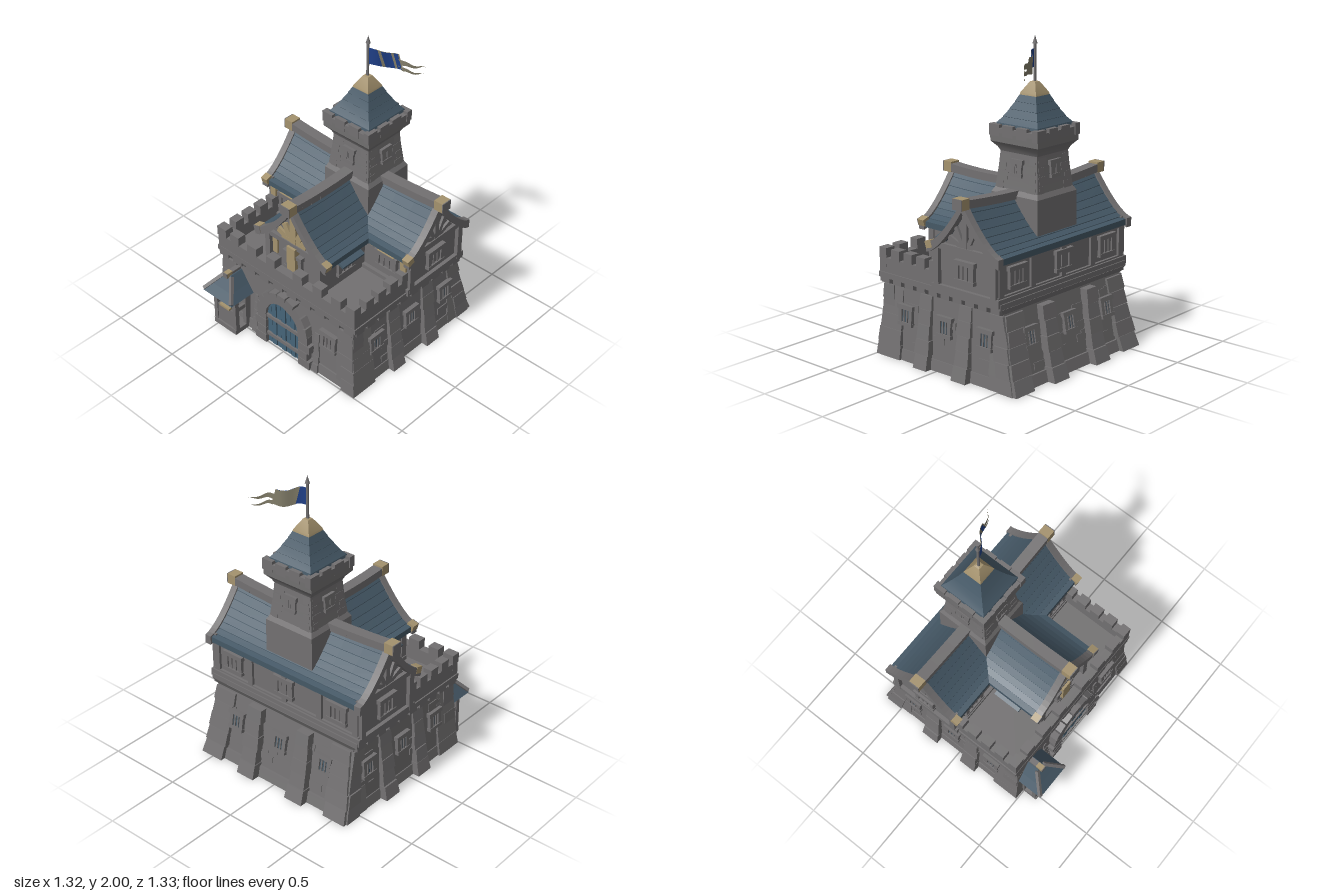
import * as THREE from 'three';
import { toCreasedNormals } from 'three/addons/utils/BufferGeometryUtils.js';

const mat = (name, color, side = THREE.FrontSide) => Object.assign(new THREE.MeshStandardMaterial({ color, side }), { name });
const stone = mat('stone', 0x727071), slate = mat('blue roof', 0x455866), gold = mat('gold timber', 0xa4926e);
const doorBlue = mat('door blue', 0x466478), dark = mat('dark recess', 0x4a494b);
const flagBlue = mat('flag blue', 0x1f3f86, THREE.DoubleSide), flagGold = mat('flag gold', 0x827d69, THREE.DoubleSide);

let seed = 7;
const rnd = () => (seed = (seed * 16807) % 2147483647) / 2147483647;

function add(parent, name, geo, material, pos = [0, 0, 0], rot = [0, 0, 0]) {
  const m = new THREE.Mesh(geo, material);
  m.name = name;
  m.position.set(...pos);
  m.rotation.set(...rot);
  parent.add(m);
  return m;
}
function group(parent, name, pos = [0, 0, 0], rotY = 0) {
  const g = new THREE.Group();
  g.name = name;
  g.position.set(...pos);
  g.rotation.y = rotY;
  parent.add(g);
  return g;
}
const box = (p, name, m, size, pos, rot) => add(p, name, new THREE.BoxGeometry(...size), m, pos, rot);

// Tapered block between two rectangles [x0, x1, z0, z1]
function hexa(p, name, m, y0, y1, low, high) {
  const geo = new THREE.BoxGeometry(1, 1, 1), a = geo.attributes.position;
  for (let i = 0; i < a.count; i++) {
    const r = a.getY(i) < 0 ? low : high;
    a.setXYZ(i, r[a.getX(i) < 0 ? 0 : 1], a.getY(i) < 0 ? y0 : y1, r[a.getZ(i) < 0 ? 2 : 3]);
  }
  geo.computeVertexNormals();
  return add(p, name, geo, m);
}
// Square tower shape from [half width, height] points
function square(p, name, m, pts, pos) {
  const v = pts.map(([r, y]) => new THREE.Vector2(r * Math.SQRT2, y));
  return add(p, name, toCreasedNormals(new THREE.LatheGeometry(v, 4, Math.PI / 4), 0.3), m, pos);
}
// Squared beam between two points
function beam(p, name, m, a, b, w, d) {
  const A = new THREE.Vector3(...a), dir = new THREE.Vector3(...b).sub(A), len = dir.length();
  const o = add(p, name, new THREE.BoxGeometry(w, len, d), m);
  o.position.copy(A).addScaledVector(dir, 0.5);
  o.quaternion.setFromUnitVectors(new THREE.Vector3(0, 1, 0), dir.normalize());
}
// Buttress of stacked courses, facing +z; lean shifts its top sideways
function buttress(p, pos, rotY, w, low, high, lean = 0, h = 0.46) {
  const g = group(p, 'buttress', pos, rotY), n = 5;
  for (let i = 0; i < n; i++) {
    const out = (k) => low + (high - low) * Math.pow(k / n, 0.8), c = (k) => lean * k / n;
    const j = rnd() * 0.01, hw = w / 2 + rnd() * 0.01 - 0.01 * (i / n);
    hexa(g, 'buttressStone', stone, h * i / n, h * (i + 1) / n - 0.003,
      [c(i) - hw, c(i) + hw, -0.1, out(i) + j], [c(i + 1) - hw + 0.005, c(i + 1) + hw - 0.005, -0.1, out(i + 1) + j]);
  }
}
// Framed window facing +z
function windowUnit(p, pos, rotY, w, h, glass = slate, tilt = 0) {
  const g = group(p, 'window', pos, rotY);
  g.rotation.set(-tilt, rotY, 0, 'YXZ');
  box(g, 'windowPane', glass, [w, h, 0.008], [0, 0, 0.007]);
  for (const s of [-1, 1]) {
    box(g, 'windowJamb', stone, [0.026, h + 0.02, 0.042], [s * (w / 2 + 0.008), 0, 0]);
    box(g, 'windowBar', stone, [0.01, h, 0.02], [s * w * 0.18, 0, 0.008]);
  }
  box(g, 'windowLintel', stone, [w + 0.06, 0.028, 0.054], [0, h / 2 + 0.012, 0]);
  box(g, 'windowSill', stone, [w + 0.05, 0.022, 0.05], [0, -h / 2 - 0.01, 0]);
}

// Sweeping roof curve: t = 0 at the ridge, 1 at the eave
const sweep = (t, ridge, eave) => ridge - (ridge - eave) * (1 - Math.pow(1 - t, 1.5));
function roofGeo(W, ridge, eave, rows, step, lift, thick, len, z, sag, half) {
  const top = [], under = [];
  for (let i = 0; i < rows; i++) {
    const a = i / rows, b = (i + 1) / rows;
    top.push([W * a, sweep(a, ridge, eave) + lift], [W * b, sweep(b, ridge, eave) + lift + step]);
  }
  for (let i = rows; i >= 0; i--) under.push([W * i / rows, sweep(i / rows, ridge, eave) - thick]);
  const mirror = (l) => l.filter((q) => q[0] > 0).map(([x, y]) => [-x, y]).reverse();
  const shape = new THREE.Shape([...mirror(top), ...top, ...under, ...mirror(under)].map((q) => new THREE.Vector2(...q)));
  const geo = new THREE.ExtrudeGeometry(shape, { depth: len, steps: 8, bevelEnabled: false }).translate(0, 0, z - len / 2);
  const a = geo.attributes.position;
  for (let i = 0; i < a.count; i++) {
    const k = THREE.MathUtils.clamp((a.getY(i) - eave) / (ridge - eave), 0, 1);
    a.setY(i, a.getY(i) + sag * k * ((a.getZ(i) / half) ** 2 - 1));
  }
  geo.computeVertexNormals();
  return geo;
}
// Gabled wing running along its own z axis
function wing(p, name, pos, rotY, { W, w, len, wallLen, ridge, eave, floor, sag, ends, tips, tipFace, timber, brace }) {
  const g = group(p, name, pos, rotY), half = len / 2, f = (x) => sweep(Math.abs(x) / W, ridge, eave);
  const pts = [[-w, floor], [w, floor]];
  for (let i = 6; i >= -6; i--) pts.push([w * i / 6, f(w * i / 6) - 0.03 - sag * 0.5]);
  const wall = new THREE.ExtrudeGeometry(new THREE.Shape(pts.map((q) => new THREE.Vector2(...q))), { depth: wallLen, bevelEnabled: false });
  add(g, 'gabledWalls', wall.translate(0, 0, -wallLen / 2), stone);
  add(g, 'shingles', roofGeo(W, ridge, eave, 8, 0.004, 0.004, 0.03, len - 0.08, 0, sag, half), slate);
  for (let i = 0; i < 8; i++) {
    const z = (k) => -half + len * k / 8, y = (k) => ridge + 0.005 + sag * ((z(k) / half) ** 2 - 1);
    beam(g, 'ridgeBeam', stone, [0, y(i), z(i)], [0, y(i + 1), z(i + 1)], 0.072, 0.05);
  }
  for (const e of ends) {
    add(g, 'bargeboard', roofGeo(W + 0.01, ridge, eave, 10, 0, 0.014, 0.045, 0.046, e * (half - 0.023), 0, half), stone);
    box(g, 'ridgeCap', gold, [0.074, 0.066, 0.062], [0, ridge + 0.006, e * half]);
    box(g, 'ridgeCapFace', stone, [0.074, 0.066, 0.006], [0, ridge + 0.006, e * (half + 0.034)]);
    for (const s of tips) {
      box(g, 'eaveTip', gold, [0.05, 0.045, 0.05], [s * (W - 0.008), eave + 0.004, e * (half - 0.024)], [0, 0, -s * 0.3]);
      if (tipFace) box(g, 'eaveTipFace', stone, [0.05, 0.045, 0.005], [s * (W - 0.008), eave + 0.004, e * (half + 0.003)], [0, 0, -s * 0.3]);
    }
    // Half-timbering on the gable
    const z = e * (wallLen / 2 + 0.004);
    box(g, 'tieBeam', stone, [w * 2 + 0.03, 0.035, 0.04], [0, eave + 0.005, z]);
    box(g, 'baseBeam', stone, [w * 2 + 0.03, 0.03, 0.04], [0, floor + 0.02, z]);
    for (const s of [-1, 1]) {
      box(g, 'cornerPost', stone, [0.04, eave - floor, 0.045], [s * (w - 0.012), (eave + floor) / 2, z]);
      for (const [x, dy] of [[0.13, 0.07], [0.075, 0.14]]) beam(g, 'fanBrace', timber, [s * 0.015, eave + 0.02, z], [s * x, eave + dy, z], brace, 0.025);
    }
    box(g, 'kingPost', timber, [brace + 0.006, ridge - eave - 0.09, 0.03], [0, (ridge + eave) / 2 - 0.03, z]);
    windowUnit(g, [0, (eave + floor) / 2 + 0.01, z], e < 0 ? Math.PI : 0, 0.1, 0.09, stone);
  }
  return g;
}

export function createModel() {
  const root = new THREE.Group();
  root.name = 'castleKeep';

  // Ground floor with battered walls and cornice
  hexa(root, 'lowerWalls', stone, 0, 0.5, [-0.578, 0.578, -0.59, 0.47], [-0.55, 0.55, -0.5, 0.45]);
  hexa(root, 'plinth', stone, 0, 0.07, [-0.59, 0.59, -0.61, 0.485], [-0.58, 0.58, -0.59, 0.477]);
  hexa(root, 'corniceFlare', stone, 0.455, 0.505, [-0.55, 0.55, -0.5, 0.45], [-0.585, 0.585, -0.525, 0.475]);
  box(root, 'cornice', stone, [1.185, 0.035, 1.0], [0, 0.52, -0.022]);
  box(root, 'upperPlinth', stone, [1.21, 0.05, 0.53], [0, 0.54, -0.25]);
  for (let i = 0; i < 10; i++) {
    const k = -0.5 + i / 9;
    for (const s of [-1, 1]) box(root, 'corbel', stone, [0.045, 0.032, 0.07], [s * 0.565, 0.488, k * 0.9 - 0.025]);
    box(root, 'corbel', stone, [0.08, 0.032, 0.045], [k * 1.08, 0.488, 0.455]);
  }
  const H = Math.PI / 2;
  for (const s of [-1, 1]) {
    for (const [z, lean, low] of [[0.42, 0, 0.055], [0.1, 0, 0.09], [-0.22, 0, 0.09], [-0.56, -s * 0.1, 0.06]]) buttress(root, [s * 0.54, 0, z], s * H, 0.11, low, 0.016, lean);
    for (const z of [0.265, -0.06, -0.385]) windowUnit(root, [s * 0.564, 0.29, z], s * H, 0.068, 0.085, slate, 0.056);
    buttress(root, [s * 0.2, 0, -0.52], Math.PI, 0.12, 0.135, 0.03);
    buttress(root, [s * 0.51, 0, -0.52], Math.PI, 0.16, 0.118, 0, s * 0.04);
    buttress(root, [s * 0.55, 0, 0.4], 0, 0.1, 0.09, 0.06, -s * 0.04);
    buttress(root, [s * 0.265, 0, 0.4], 0, 0.045, 0.09, 0.06, 0, 0.3);
    // Raised wall stones
    for (let i = 0; i < 9; i++) {
      const y = 0.1 + rnd() * 0.32, z = -0.44 + rnd() * 0.8;
      box(root, 'wallStone', stone, [0.016, 0.045, 0.09], [s * (0.576 - 0.056 * y), y, z], [0, 0, s * 0.056]);
      box(root, 'wallStone', stone, [0.1, 0.045, 0.016], [s * (0.05 + rnd() * 0.42), y, -0.587 + 0.18 * y], [0.18, 0, 0]);
    }
  }
  for (const x of [-0.36, 0, 0.36]) windowUnit(root, [x, 0.29, -0.54], Math.PI, 0.068, 0.085, slate, 0.18);
  windowUnit(root, [0.37, 0.3, 0.462], 0, 0.08, 0.09, stone, 0.05);

  // Arched gate
  const gate = group(root, 'gate', [0, 0, 0.475]);
  for (let i = 0; i < 7; i++) {
    const x = -0.123 + i * 0.041, h = 0.25 + Math.sqrt(0.15 ** 2 - x * x);
    box(gate, 'doorBacking', dark, [0.041, h, 0.02], [x, h / 2, -0.002]);
    box(gate, 'doorPlank', doorBlue, [0.035, h - 0.015, 0.02], [x, h / 2, 0.005 + (i % 2) * 0.004]);
  }
  for (const y of [0.08, 0.23]) box(gate, 'doorBar', stone, [0.28, 0.026, 0.025], [0, y, 0.016]);
  for (let i = 0; i < 9; i++) {
    const a = Math.PI * (i + 0.5) / 9;
    box(gate, 'archStone', stone, [0.078 + rnd() * 0.012, 0.066, 0.07], [Math.cos(a) * 0.178, 0.25 + Math.sin(a) * 0.178, 0], [0, 0, a]);
  }
  for (const s of [-1, 1]) for (let i = 0; i < 4; i++) {
    const w = i % 2 ? 0.075 : 0.095;
    box(gate, 'gateJamb', stone, [w, 0.06, 0.075 - i * 0.004], [s * (0.142 + w / 2), 0.03 + i * 0.063, 0]);
  }

  // Guard booth beside the gate
  const booth = group(root, 'guardBooth', [-0.43, 0, 0]);
  for (const s of [-1, 1]) {
    box(booth, 'boothPost', stone, [0.03, 0.3, 0.03], [s * 0.085, 0.15, 0.58]);
    box(booth, 'boothPost', stone, [0.03, 0.3, 0.05], [s * 0.085, 0.15, 0.48]);
    box(booth, 'boothSideRail', stone, [0.02, 0.03, 0.1], [s * 0.085, 0.19, 0.53]);
    beam(booth, 'boothHip', stone, [s * 0.03, 0.42, 0.55], [s * 0.125, 0.305, 0.65], 0.022, 0.022);
  }
  box(booth, 'boothFront', stone, [0.16, 0.16, 0.02], [0, 0.09, 0.578]);
  box(booth, 'boothFloor', stone, [0.2, 0.035, 0.15], [0, 0.018, 0.525]);
  box(booth, 'boothCounter', gold, [0.09, 0.014, 0.03], [0, 0.18, 0.585]);
  box(booth, 'boothLintel', stone, [0.2, 0.03, 0.035], [0, 0.285, 0.58]);
  hexa(booth, 'boothRoofEave', slate, 0.29, 0.345, [-0.13, 0.13, 0.44, 0.655], [-0.085, 0.085, 0.44, 0.61]);
  hexa(booth, 'boothRoofTop', slate, 0.345, 0.425, [-0.085, 0.085, 0.44, 0.61], [-0.025, 0.025, 0.44, 0.55]);
  box(booth, 'boothFinial', gold, [0.035, 0.035, 0.045], [0, 0.43, 0.55]);
  box(booth, 'boothFinialFace', stone, [0.035, 0.035, 0.006], [0, 0.43, 0.575]);
  box(booth, 'boothRidge', stone, [0.035, 0.035, 0.08], [0, 0.425, 0.49]);

  // Terrace parapet with merlons
  box(root, 'parapetFront', stone, [1.17, 0.095, 0.055], [0, 0.582, 0.448]);
  for (const s of [-1, 1]) {
    for (const x of [0.115, 0.28, 0.435, 0.55]) box(root, 'merlon', stone, [0.07 + rnd() * 0.012, 0.066, 0.06], [s * x, 0.658, 0.448]);
    box(root, 'parapetSide', stone, [0.055, 0.095, 0.47], [s * 0.557, 0.582, 0.23]);
    for (let i = 0; i < 4; i++) box(root, 'merlon', stone, [0.06, 0.066, 0.07], [s * 0.557, 0.658, 0.34 - i * 0.108]);
  }

  // Upper storey wings
  wing(root, 'mainWing', [0, 0, -0.248], H, { W: 0.275, w: 0.238, len: 1.25, wallLen: 1.16, ridge: 1.09, eave: 0.8, floor: 0.53, sag: 0.03, ends: [-1, 1], tips: [-1], tipFace: false, timber: stone, brace: 0.028 });
  const front = wing(root, 'frontWing', [0, 0, 0.11], 0, { W: 0.288, w: 0.225, len: 0.62, wallLen: 0.53, ridge: 1.1, eave: 0.8, floor: 0.53, sag: 0.015, ends: [1], tips: [-1, 1], tipFace: true, timber: gold, brace: 0.042 });
  box(front, 'goldFanBase', gold, [0.2, 0.03, 0.028], [0, 0.835, 0.268]);
  box(front, 'goldPost', gold, [0.07, 0.18, 0.06], [0, 0.71, 0.275]);
  box(front, 'goldPost', gold, [0.04, 0.11, 0.03], [-0.16, 0.72, 0.264]);
  for (const s of [-1, 1]) {
    box(front, 'sideAwning', slate, [0.08, 0.02, 0.19], [s * 0.265, 0.738, 0.065], [0, 0, -s * 0.35]);
    windowUnit(front, [s * 0.226, 0.67, 0.065], s * H, 0.1, 0.09, stone);
    box(root, 'goldBand', gold, [0.32, 0.035, 0.02], [s * 0.41, 0.765, -0.002]);
    box(root, 'goldCornerPost', gold, [0.045, 0.11, 0.03], [s * 0.555, 0.735, -0.002]);
    windowUnit(root, [s * 0.42, 0.685, -0.004], 0, 0.12, 0.08, stone);
    box(root, 'goldLintel', gold, [0.13, 0.014, 0.04], [s * 0.42, 0.748, 0.002]);
  }
  // Back wall framing
  for (const y of [0.56, 0.77]) box(root, 'backBeam', stone, [1.18, 0.03, 0.03], [0, y, -0.488]);
  for (let i = 0; i < 5; i++) box(root, 'backPost', stone, [0.04, 0.24, 0.03], [-0.56 + i * 0.28, 0.66, -0.488]);
  for (const x of [-0.42, 0, 0.42]) windowUnit(root, [x, 0.67, -0.486], Math.PI, 0.1, 0.09, stone);

  // Tower
  const tower = group(root, 'tower', [0, 0, -0.265]);
  square(tower, 'towerShaft', stone, [[0.185, 0.75], [0.182, 1.06], [0.165, 1.09], [0.15, 1.22], [0.143, 1.31], [0.155, 1.335], [0.186, 1.37], [0.188, 1.43], [0.148, 1.43], [0.148, 1.475], [0, 1.475]]);
  for (let k = 0; k < 4; k++) {
    const side = group(tower, 'towerSide', [0, 0, 0], k * H);
    for (const x of [-0.16, -0.055, 0.055]) box(side, 'towerMerlon', stone, [0.08, 0.07, 0.042], [x + 0.005, 1.44, 0.168]);
    box(side, 'towerRail', stone, [0.36, 0.03, 0.04], [0, 1.44, 0.168]);
    windowUnit(side, [0, 1.22, 0.144], 0, 0.035, 0.06, k % 2 ? slate : stone, 0.08);
    for (let i = 0; i < 4; i++) for (const s of [-1, 1]) {
      const y = 1.11 + i * 0.055, long = (i % 2 === 0) === (s > 0);
      box(side, 'towerQuoin', stone, [long ? 0.07 : 0.045, 0.045, 0.012], [s * ((long ? 0.112 : 0.124) - i * 0.005), y, 0.161 - 0.11 * (y - 1.09)], [-0.11, 0, 0]);
    }
  }
  square(tower, 'towerRoof', slate, [[0, 1.465], [0.164, 1.465], [0.16, 1.482], [0.132, 1.515], [0.133, 1.517], [0.106, 1.56], [0.107, 1.562], [0.082, 1.605], [0.083, 1.607], [0.057, 1.66]]);
  square(tower, 'roofCap', gold, [[0, 1.645], [0.064, 1.645], [0.06, 1.66], [0.02, 1.725], [0, 1.73]]);
  add(tower, 'flagPole', new THREE.CylinderGeometry(0.008, 0.009, 0.25, 8), stone, [0, 1.83, 0]);
  add(tower, 'poleTip', new THREE.ConeGeometry(0.015, 0.05, 8), stone, [0, 1.975, 0]);

  // Swallow-tailed pennant with a slight wave and slanted stripes
  const pennant = group(tower, 'flag', [0, 0, 0], 0.5);
  const strip = (name, m, u0, u1, top, bottom, z = 0) => {
    const geo = new THREE.PlaneGeometry(1, 1, 10, 3), a = geo.attributes.position;
    for (let i = 0; i < a.count; i++) {
      const v = a.getY(i) + 0.5, end = u0 + (u1 - u0) * (a.getX(i) + 0.5), u = end + (1 - v) * 0.03 * Math.min(1, end * 20);
      a.setXYZ(i, u, THREE.MathUtils.lerp(bottom(u), top(u), v), z + 0.012 * Math.sin(u * 32));
    }
    geo.computeVertexNormals();
    add(pennant, name, geo, m);
  };
  const hi = (u) => 1.92 - 0.16 * u + 0.006 * Math.sin(u * 40), lo = (u) => 1.808 - 0.07 * u + 0.006 * Math.sin(u * 35);
  for (const [u0, u1] of [[0, 0.06], [0.078, 0.135], [0.15, 0.178]]) strip('flagField', flagBlue, u0, u1, hi, lo);
  for (const [u0, u1] of [[0.06, 0.078], [0.135, 0.15], [0.178, 0.186]]) strip('flagStripe', flagGold, u0, u1, hi, lo);
  strip('flagLining', flagGold, 0.045, 0.186, hi, lo, -0.004);
  const tail = (y, drop, w) => [1, -1].map((s) => (u) => y - drop * (u - 0.18) + s * w * Math.max(0.1, (0.35 - u) / 0.17) + 0.006 * Math.sin(u * 60));
  strip('flagTailUpper', flagGold, 0.18, 0.32, ...tail(1.85, 0.15, 0.022));
  strip('flagTailLower', flagGold, 0.18, 0.31, ...tail(1.81, 0.2, 0.016));
  return root;
}
